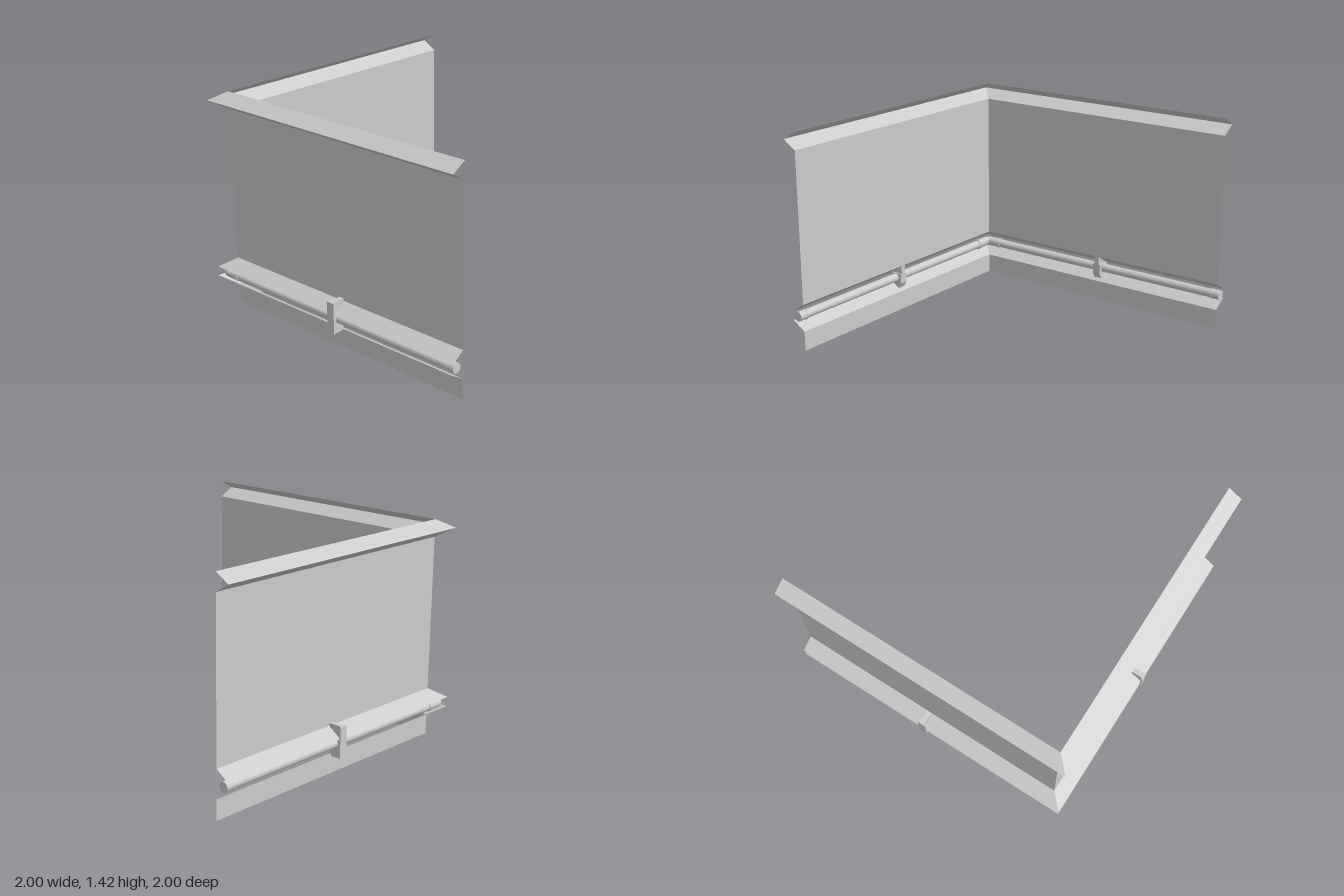
import * as THREE from 'three';

const WALL = 0.9;    // distance of the wall plane from the centre
const TIP = 0.993;   // distance of the folded edges
const PIPE = 0.953;  // distance of the pipe axis
const PIPE_Y = 0.218;

export function createModel() {
  const model = new THREE.Group();
  const thin = new THREE.MeshStandardMaterial({ color: 0xcccccc, side: THREE.DoubleSide, flatShading: true });
  const smooth = new THREE.MeshStandardMaterial({ color: 0xcccccc });

  const add = (name, geometry, material) => {
    const mesh = new THREE.Mesh(geometry, material);
    mesh.name = name;
    model.add(mesh);
    return mesh;
  };

  // Mitred L-shaped sheet between two [distance, height] points
  const sheet = (name, a, b) => {
    const row = ([d, y]) => [1, y, -d, -d, y, -d, -d, y, 1];
    let g = new THREE.BufferGeometry();
    g.setAttribute('position', new THREE.Float32BufferAttribute([...row(a), ...row(b)], 3));
    g.setIndex([0, 3, 1, 1, 3, 4, 1, 4, 2, 2, 4, 5]);
    g = g.toNonIndexed();
    g.computeVertexNormals();
    add(name, g, thin);
  };

  sheet('skirting', [WALL, 0], [WALL, 0.13]);
  sheet('lowerGrooveFlange', [WALL, 0.13], [TIP, 0.188]);
  sheet('upperGrooveFlange', [TIP, 0.25], [WALL, 0.31]);
  sheet('wallPanel', [WALL, 0.31], [WALL, 1.31]);
  sheet('capLowerFlange', [WALL, 1.31], [TIP, 1.367]);
  sheet('capUpperFlange', [TIP, 1.367], [WALL, 1.422]);

  // Pipe and corner elbow follow the same L with a tight bend
  const bentTube = (name, reach, radius) => {
    const p = (x, z) => new THREE.Vector3(x, PIPE_Y, z);
    const bend = -PIPE + 0.04;
    const path = new THREE.CurvePath();
    path.add(new THREE.LineCurve3(p(reach, -PIPE), p(bend, -PIPE)));
    path.add(new THREE.QuadraticBezierCurve3(p(bend, -PIPE), p(-PIPE, -PIPE), p(-PIPE, bend)));
    path.add(new THREE.LineCurve3(p(-PIPE, bend), p(-PIPE, reach)));
    add(name, new THREE.TubeGeometry(path, 160, radius, 24, false), smooth);
  };
  bentTube('pipe', 0.99, 0.029);
  bentTube('cornerElbow', -0.84, 0.032);

  // Bracket cross-sections, x = distance from the centre
  const extrude = (points, width) => {
    const shape = new THREE.Shape(points.map(([d, y]) => new THREE.Vector2(-d, y)));
    return new THREE.ExtrudeGeometry(shape, { depth: width, bevelEnabled: false }).translate(0, 0, -width / 2);
  };
  const clampShape = [[1, 0.13], [0.935, 0.13], [0.905, 0.182], [0.905, 0.25], [1, 0.25]];
  const webShape = [[1, 0.25], [0.905, 0.25], [0.905, 0.33], [1, 0.33]];
  const backShape = [[1, 0.25], [0.99, 0.25], [0.99, 0.33], [1, 0.33]];

  // Parts repeated on both walls
  for (const side of ['left', 'back']) {
    const back = side === 'back';
    const bracket = new THREE.Group();
    bracket.name = side + 'Bracket';
    for (const [name, shape, width] of [
      ['clamp', clampShape, 0.056], ['web', webShape, 0.034], ['backPlate', backShape, 0.056],
    ]) {
      const mesh = new THREE.Mesh(extrude(shape, width), smooth);
      mesh.name = name;
      bracket.add(mesh);
    }
    bracket.rotation.y = back ? -Math.PI / 2 : 0;
    bracket.position[back ? 'x' : 'z'] = 0.05;
    model.add(bracket);

    // Sleeves and collars around the pipe: [name, centre, length, radius]
    for (const [name, at, length, radius] of [
      ['EndSleeve', 0.97, 0.06, 0.032], ['EndCollar', 0.942, 0.014, 0.034], ['ElbowCollar', -0.834, 0.024, 0.034],
    ]) {
      const ring = add(side + name, new THREE.CylinderGeometry(radius, radius, length, 24), smooth);
      if (back) {
        ring.rotation.z = Math.PI / 2;
        ring.position.set(at, PIPE_Y, -PIPE);
      } else {
        ring.rotation.x = Math.PI / 2;
        ring.position.set(-PIPE, PIPE_Y, at);
      }
    }
  }
  return model;
}
